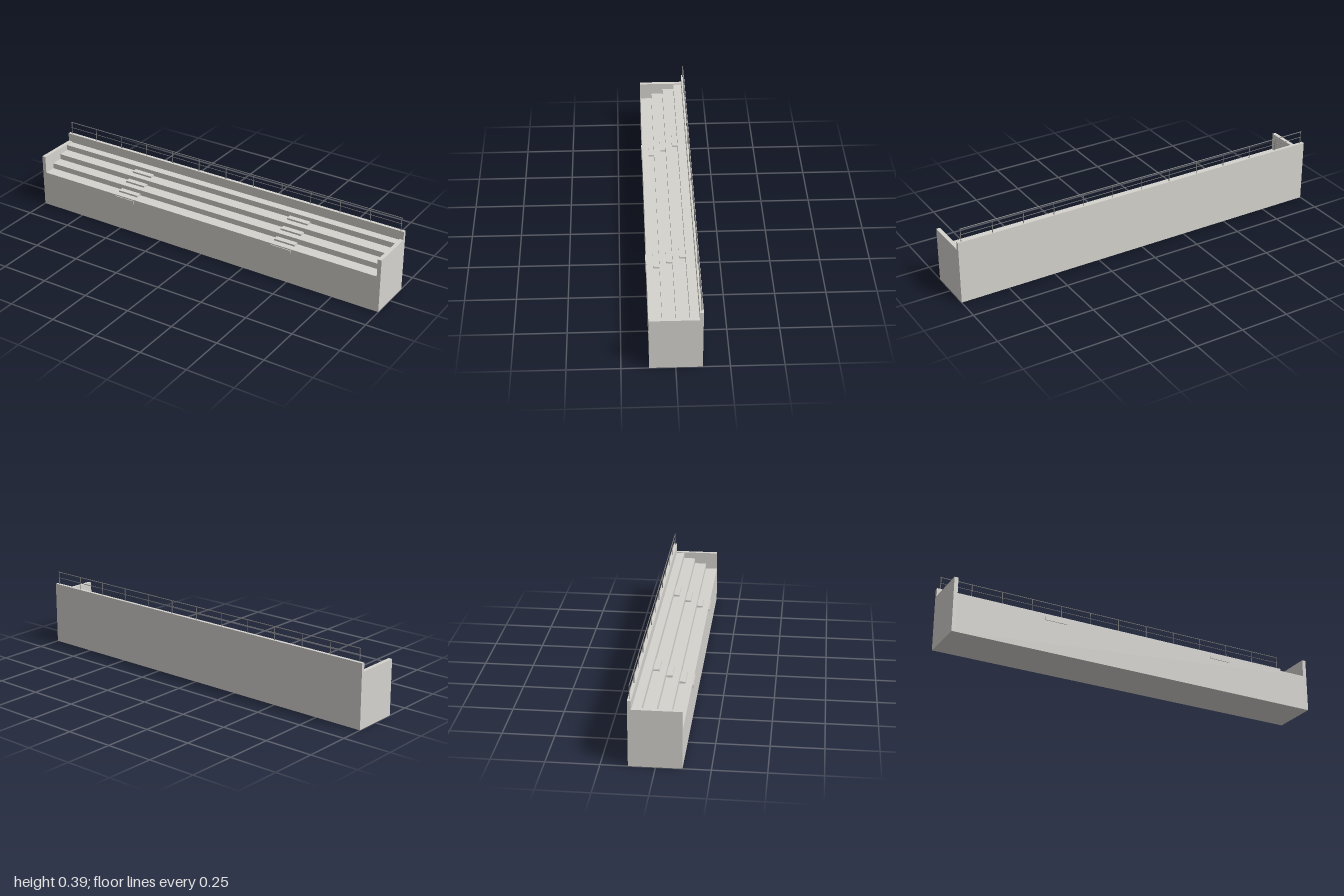
import * as THREE from 'three';

export function createModel() {
  const model = new THREE.Group();
  model.name = 'grandstand';
  const concrete = new THREE.MeshStandardMaterial({ color: 0xd5d3ce });
  concrete.name = 'concrete';
  const steel = new THREE.MeshStandardMaterial({ color: 0x808080 });
  steel.name = 'railing steel';

  // Box given by its limits along each axis
  function box(name, parent, material, [x0, x1], [y0, y1], [z0, z1]) {
    const mesh = new THREE.Mesh(new THREE.BoxGeometry(x1 - x0, y1 - y0, z1 - z0), material);
    mesh.position.set((x0 + x1) / 2, (y0 + y1) / 2, (z0 + z1) / 2);
    mesh.name = name;
    parent.add(mesh);
  }

  const front = 0.121, back = -0.124, wallFront = -0.107;
  const inner = 0.98;
  const firstTread = 0.19, rise = 0.029, run = 0.0617, rows = 4;

  // Stepped terrace and back wall: one side profile (z, y) extruded along x
  const profile = new THREE.Shape();
  profile.moveTo(back, 0);
  profile.lineTo(front, 0);
  for (let i = 0; i < rows; i++) {
    const y = firstTread + i * rise;
    profile.lineTo(front - i * run, y);
    profile.lineTo(i < rows - 1 ? front - (i + 1) * run : wallFront, y);
  }
  profile.lineTo(wallFront, 0.325);
  profile.lineTo(back, 0.325);
  profile.closePath();
  const terraceGeometry = new THREE.ExtrudeGeometry(profile, { depth: inner * 2, bevelEnabled: false });
  terraceGeometry.translate(0, 0, -inner);
  terraceGeometry.rotateY(-Math.PI / 2);
  const terrace = new THREE.Mesh(terraceGeometry, concrete);
  terrace.name = 'terrace';
  model.add(terrace);

  // End walls, with the back wall carried on to the corners
  for (const side of [-1, 1]) {
    const x = side < 0 ? [-1, -inner] : [inner, 1];
    box('endWall', model, concrete, x, [0, 0.282], [wallFront, front]);
    box('backWallEnd', model, concrete, x, [0, 0.325], [back, wallFront]);
  }

  // Two aisles of half steps, the lowest set into the front wall
  for (const x of [[-0.525, -0.41], [0.405, 0.52]]) {
    const aisle = new THREE.Group();
    aisle.name = 'aisleSteps';
    model.add(aisle);
    for (let i = 0; i < rows - 1; i++) {
      const y = firstTread + i * rise;
      const z = front - (i + 1) * run;
      box('halfStep', aisle, concrete, x, [y - 0.002, y + 0.009], [z - 0.003, z + 0.029]);
    }
    box('frontStep', aisle, concrete, x, [0.167, 0.184], [0.095, 0.125]);
  }

  // Safety railing along the back wall
  const railing = new THREE.Group();
  railing.name = 'railing';
  model.add(railing);
  const railZ = -0.1155, posts = 13, railEnd = 0.98;
  const postGeometry = new THREE.CylinderGeometry(0.002, 0.002, 0.068, 16);
  for (let i = 0; i < posts; i++) {
    const post = new THREE.Mesh(postGeometry, steel);
    post.position.set(-railEnd + (2 * railEnd * i) / (posts - 1), 0.358, railZ);
    post.name = 'railingPost';
    railing.add(post);
  }
  for (const [name, y, r] of [['topRail', 0.391, 0.0022], ['middleRail', 0.36, 0.0015]]) {
    const rail = new THREE.Mesh(new THREE.CylinderGeometry(r, r, railEnd * 2 + 0.008, 16), steel);
    rail.rotation.z = Math.PI / 2;
    rail.position.set(0, y, railZ);
    rail.name = name;
    railing.add(rail);
  }

  return model;
}
